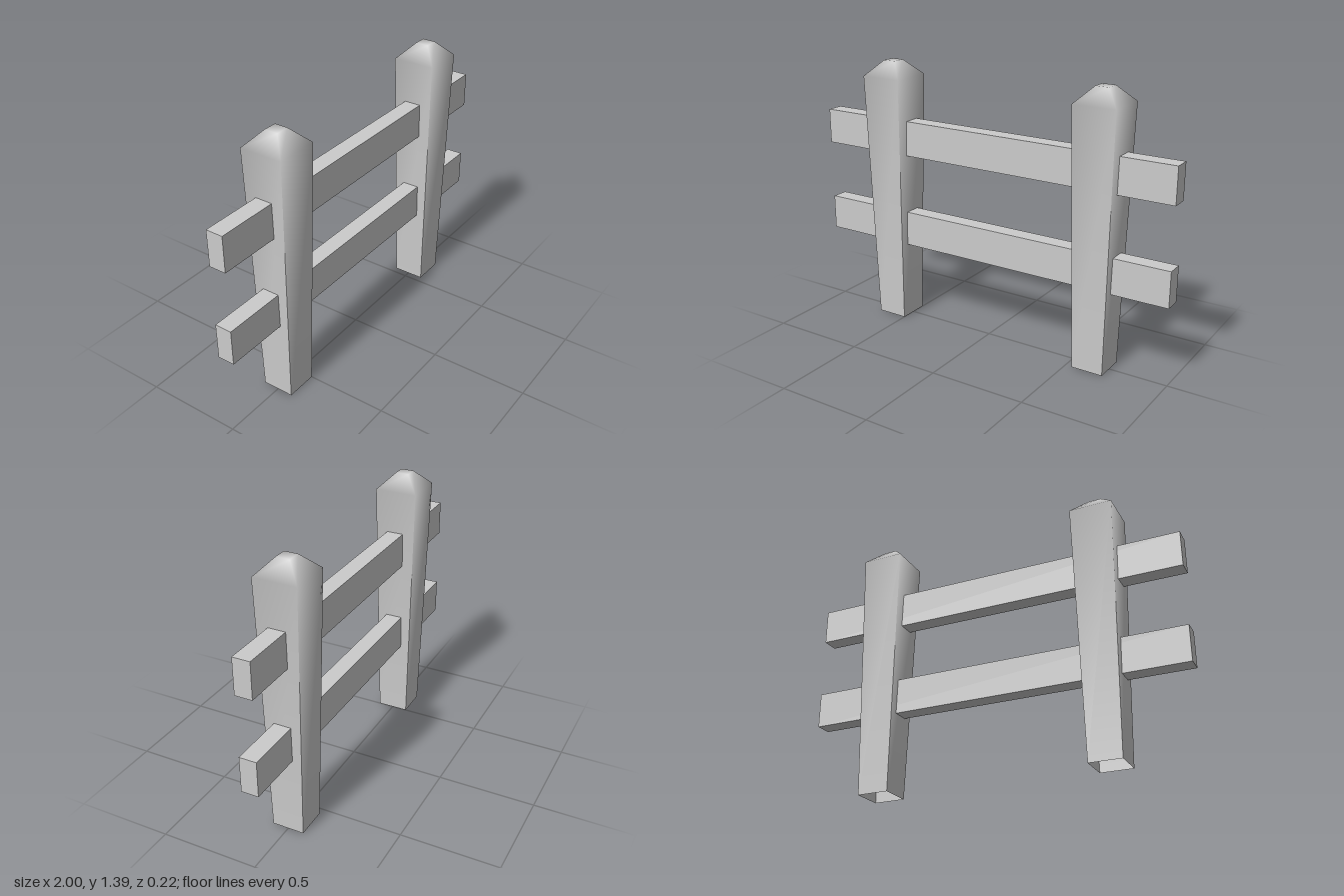
import * as THREE from 'three';

const CORNERS = [[1, 1], [1, -1], [-1, -1], [-1, 1]];

// Tapered square post, open underneath: hard edges at the foot that soften toward the chamfered head
function postGeometry() {
  const positions = [];
  const index = [];
  const addCorner = (i, half, y) => {
    const [x, z] = CORNERS[i % 4];
    positions.push(x * half, y, z * half);
    return positions.length / 3 - 1;
  };
  const quad = (a, b, c, d) => index.push(a, b, c, a, c, d);

  const shoulder = CORNERS.map((_, i) => addCorner(i, 0.11, 1.316));
  const top = CORNERS.map((_, i) => addCorner(i, 0.034, 1.394));
  for (let i = 0; i < 4; i++) {
    const j = (i + 1) % 4;
    // foot corners are separate for each side, which keeps them creased
    quad(addCorner(i, 0.082, 0), addCorner(j, 0.082, 0), shoulder[j], shoulder[i]);
    quad(shoulder[i], shoulder[j], top[j], top[i]);
  }
  quad(...top);

  const geometry = new THREE.BufferGeometry();
  geometry.setAttribute('position', new THREE.Float32BufferAttribute(positions, 3));
  geometry.setIndex(index);
  geometry.computeVertexNormals();
  return geometry;
}

export function createModel() {
  const fence = new THREE.Group();
  fence.name = 'fence';
  const postMaterial = new THREE.MeshStandardMaterial({ color: 0xcccccc, side: THREE.DoubleSide });
  const railMaterial = new THREE.MeshStandardMaterial({ color: 0xcccccc });

  // Upright posts
  const postShape = postGeometry();
  for (const [name, x] of [['rightPost', -0.582], ['leftPost', 0.617]]) {
    const post = new THREE.Mesh(postShape, postMaterial);
    post.name = name;
    post.position.x = x;
    fence.add(post);
  }

  // Horizontal rails running through both posts
  const railShape = new THREE.BoxGeometry(2, 0.183, 0.088);
  for (const [name, y] of [['lowerRail', 0.508], ['upperRail', 1.001]]) {
    const rail = new THREE.Mesh(railShape, railMaterial);
    rail.name = name;
    rail.position.y = y;
    fence.add(rail);
  }
  return fence;
}
